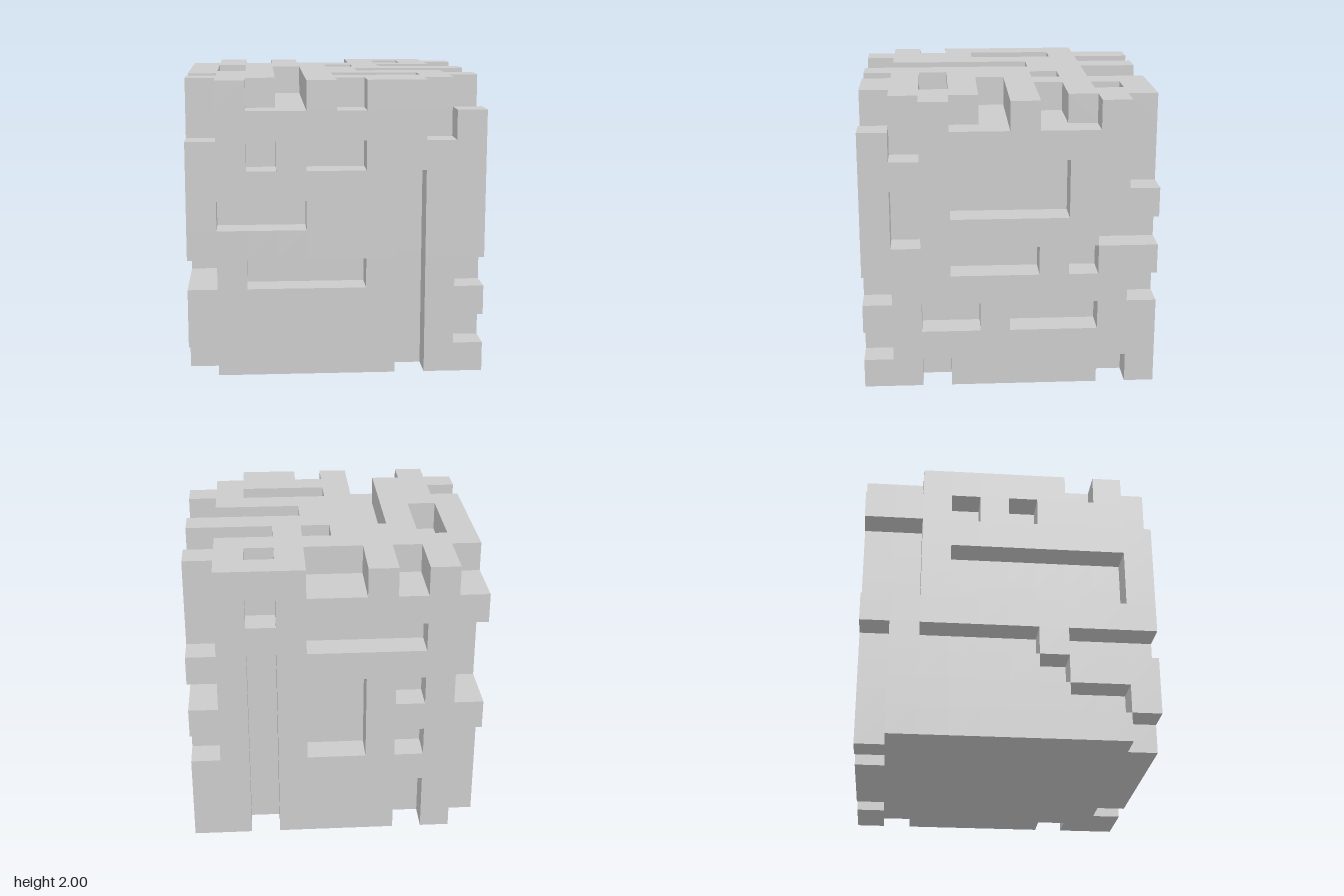
import * as THREE from 'three';
import { mergeVertices } from 'three/addons/utils/BufferGeometryUtils.js';

const N = 10;          // cells along each side
const S = 2 / N;       // cell size

// Recesses one cell deep, as cell ranges [u0, u1, v0, v1] on each face.
const frontCuts = [ // x, y
  [0, 1, 8, 10], [8, 9, 8, 10], [2, 3, 7, 8], [4, 6, 7, 8], [1, 4, 5, 6], [7, 8, 0, 7],
  [0, 1, 3, 4], [2, 6, 3, 4], [9, 10, 3, 4], [9, 10, 1, 2], [0, 1, 0, 1],
];
const backCuts = [ // x, y
  [7, 8, 0, 7], [7, 8, 8, 9], [2, 6, 7, 8], [4, 6, 3, 6], [2, 3, 5, 6],
  [2, 3, 3, 4], [2, 3, 0, 2], [0, 1, 0, 4], [0, 1, 5, 8],
];
const plusXCuts = [ // z, y
  [8, 9, 8, 10], [0, 1, 7, 10], [3, 7, 6, 8], [8, 9, 5, 7], [0, 2, 5, 6], [2, 3, 4, 5],
  [4, 7, 4, 5], [0, 1, 3, 4], [6, 8, 2, 3], [2, 5, 2, 3], [7, 8, 0, 1], [1, 2, 0, 1],
];
const minusXCuts = [ // z, y
  [0, 2, 5, 8], [3, 4, 8, 9], [5, 6, 8, 9], [3, 9, 5, 7],
  [2, 6, 3, 4], [7, 10, 3, 4], [6, 7, 2, 3], [7, 9, 1, 2],
];
const topCuts = [ // x, z
  [0, 1, 0, 2], [2, 3, 0, 2], [4, 6, 0, 2], [7, 8, 1, 2], [9, 10, 0, 1], [9, 10, 2, 3],
  [7, 10, 3, 4], [1, 2, 3, 6], [5, 6, 3, 4], [3, 4, 4, 10], [6, 10, 5, 6], [9, 10, 6, 7],
  [5, 8, 7, 8], [0, 1, 7, 8], [0, 1, 9, 10], [2, 3, 9, 10], [5, 6, 9, 10], [8, 10, 9, 10],
];

function carvedCells() {
  const solid = new Uint8Array(N ** 3).fill(1);
  const index = (x, y, z) => x + N * (y + N * z);
  const carve = (cuts, place) => {
    for (const [u0, u1, v0, v1] of cuts)
      for (let u = u0; u < u1; u++)
        for (let v = v0; v < v1; v++) solid[index(...place(u, v))] = 0;
  };
  carve(frontCuts, (x, y) => [x, y, N - 1]);
  carve(backCuts, (x, y) => [x, y, 0]);
  carve(plusXCuts, (z, y) => [N - 1, y, z]);
  carve(minusXCuts, (z, y) => [0, y, z]);
  carve(topCuts, (x, z) => [x, N - 1, z]);
  return (c) => c.every((n) => n >= 0 && n < N) && solid[index(...c)] === 1;
}

// One quad for every cell side that borders empty space.
function surfaceOf(isSolid) {
  const positions = [], normals = [], indices = [];
  const addSide = (cell, axis, sign) => {
    const u = (axis + 1) % 3, v = (axis + 2) % 3;
    const first = positions.length / 3;
    for (const [du, dv] of [[0, 0], [1, 0], [1, 1], [0, 1]]) {
      const p = [...cell];
      p[axis] += sign > 0 ? 1 : 0;
      p[u] += du;
      p[v] += dv;
      positions.push(p[0] * S - 1, p[1] * S, p[2] * S - 1);
      const n = [0, 0, 0];
      n[axis] = sign;
      normals.push(...n);
    }
    const order = sign > 0 ? [0, 1, 2, 0, 2, 3] : [0, 2, 1, 0, 3, 2];
    indices.push(...order.map((i) => first + i));
  };
  for (let x = 0; x < N; x++)
    for (let y = 0; y < N; y++)
      for (let z = 0; z < N; z++) {
        const cell = [x, y, z];
        if (!isSolid(cell)) continue;
        for (let axis = 0; axis < 3; axis++)
          for (const sign of [-1, 1]) {
            const next = [...cell];
            next[axis] += sign;
            if (!isSolid(next)) addSide(cell, axis, sign);
          }
      }
  const geometry = new THREE.BufferGeometry();
  geometry.setAttribute('position', new THREE.Float32BufferAttribute(positions, 3));
  geometry.setAttribute('normal', new THREE.Float32BufferAttribute(normals, 3));
  geometry.setIndex(indices);
  return mergeVertices(geometry);
}

export function createModel() {
  const group = new THREE.Group();
  group.name = 'carvedCube';
  const material = new THREE.MeshStandardMaterial({ color: 0xcccccc });
  const block = new THREE.Mesh(surfaceOf(carvedCells()), material);
  block.name = 'carvedBlock';
  group.add(block);
  return group;
}
